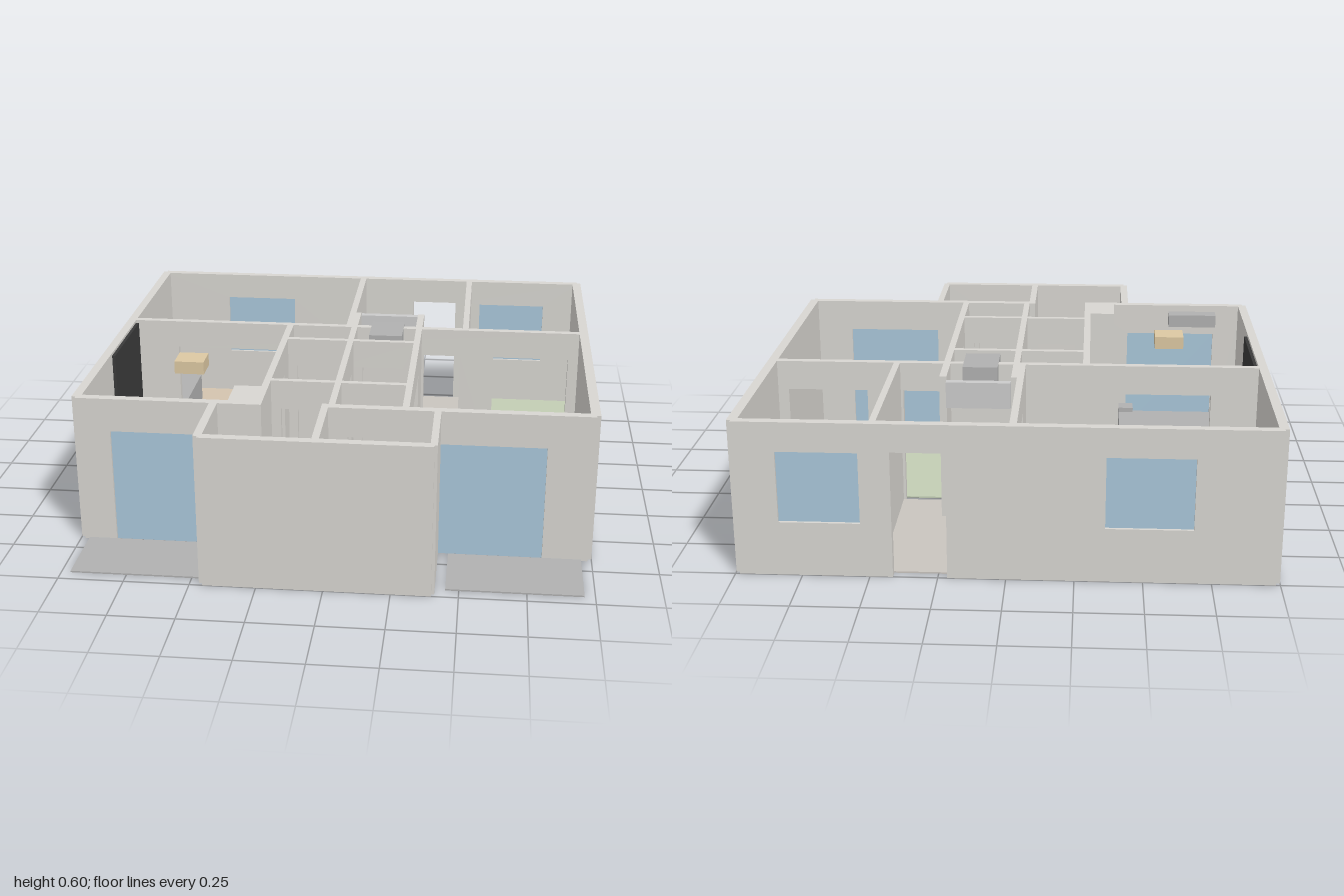
import * as THREE from 'three';

const H = 0.598;      // wall height
const DOOR = 0.48;    // opening height
const FLOOR = 0.006;  // slab thickness

const mat = (color) => new THREE.MeshStandardMaterial({ color });
const M = {
  wall: mat(0xd8d6d1), green: mat(0xc2cdb4), tan: mat(0xd3c3ae), brown: mat(0xcab192),
  hall: mat(0xc9c4be), blue: mat(0xbacbd6), grey: mat(0xb0b0b0), white: mat(0xdededa),
  dark: mat(0x3a3a3a), bed: mat(0x505050), wood: mat(0xdcc8a2), glass: mat(0xa9c7da),
};

export function createModel() {
  const model = new THREE.Group();

  // Box given by its plan rectangle and height range
  function block(name, material, x0, x1, z0, z1, y0, y1) {
    const mesh = new THREE.Mesh(new THREE.BoxGeometry(x1 - x0, y1 - y0, z1 - z0), material);
    mesh.position.set((x0 + x1) / 2, (y0 + y1) / 2, (z0 + z1) / 2);
    mesh.name = name;
    model.add(mesh);
  }

  // Wall along x or z: c0..c1 is its thickness, a..b its run.
  // doors: [from, to, height] cut from the ground; windows: [from, to, sill, head]
  function wall(name, axis, c0, c1, a, b, doors = [], windows = []) {
    const s = new THREE.Shape();
    s.moveTo(a, 0);
    for (const [d0, d1, h = DOOR] of doors) {
      s.lineTo(d0, 0); s.lineTo(d0, h); s.lineTo(d1, h); s.lineTo(d1, 0);
    }
    s.lineTo(b, 0); s.lineTo(b, H); s.lineTo(a, H); s.closePath();
    for (const [w0, w1, y0, y1] of windows) {
      const p = new THREE.Path();
      p.moveTo(w0, y0); p.lineTo(w0, y1); p.lineTo(w1, y1); p.lineTo(w1, y0); p.closePath();
      s.holes.push(p);
    }
    const geo = new THREE.ExtrudeGeometry(s, { depth: c1 - c0, bevelEnabled: false });
    if (axis === 'z') { geo.rotateY(-Math.PI / 2); geo.translate(c1, 0, 0); }
    else geo.translate(0, 0, c0);
    const mesh = new THREE.Mesh(geo, M.wall);
    mesh.name = name;
    model.add(mesh);
  }

  // Room floors
  const floors = [
    ['livingFloor', M.tan, -0.965, -0.04, -0.965, -0.285],
    ['entryFloor', M.hall, -0.013, 0.465, -0.965, -0.452],
    ['entryFloor', M.hall, 0.29, 0.465, -0.452, -0.285],
    ['closetFloor', M.hall, 0.01, 0.262, -0.452, -0.285],
    ['backBedroomFloor', M.green, 0.49, 0.96, -0.965, -0.285],
    ['mainBedroomFloor', M.green, -0.965, -0.295, -0.255, 0.48],
    ['mainBedroomFloor', M.green, -0.965, -0.4, 0.48, 0.635],
    ['sideBedroomFloor', M.green, 0.29, 0.96, -0.255, 0.635],
    ['storeFloor', M.tan, -0.268, -0.015, -0.255, -0.1],
    ['toiletFloor', M.blue, 0.01, 0.264, -0.255, -0.1],
    ['corridorFloor', M.brown, -0.268, -0.015, -0.075, 0.39],
    ['corridorFloor', M.brown, 0.01, 0.264, -0.075, 0.39],
    ['washFloor', M.blue, -0.268, -0.018, 0.415, 0.65],
    ['washFloor', M.blue, -0.268, -0.04, 0.65, 0.67],
    ['washFloor', M.blue, -0.435, -0.04, 0.67, 0.965],
    ['dressingFloor', M.tan, 0.01, 0.264, 0.415, 0.635],
    ['bathFloor', M.blue, -0.013, 0.385, 0.67, 0.965],
    ['patio', M.grey, -0.965, -0.465, 0.67, 0.95],
    ['patio', M.grey, 0.45, 0.96, 0.67, 0.95],
  ];
  for (const f of floors) block(...f, 0, FLOOR);

  // Outer walls, run short of the corners to leave small notches
  wall('backWall', 'x', -1, -0.965, -0.984, 0.984, [[0.215, 0.415, 0.49]],
    [[-0.68, -0.36, 0.21, 0.485], [0.53, 0.83, 0.21, 0.485]]);
  wall('sideWall', 'z', -1, -0.965, -0.984, 0.655);
  wall('sideWall', 'z', 0.963, 1, -0.984, 0.655);
  wall('frontWall', 'x', 0.635, 0.67, -0.984, -0.268, [[-0.855, -0.465, 0.465]]);
  wall('frontWall', 'x', 0.635, 0.67, -0.04, 0.984, [[0.06, 0.22], [0.41, 0.81, 0.465]]);
  wall('bayFrontWall', 'x', 0.965, 1, -0.45, 0.4);
  wall('baySideWall', 'z', -0.466, -0.435, 0.65, 0.984);
  wall('baySideWall', 'z', 0.385, 0.411, 0.65, 0.984);

  // Inner walls
  wall('crossWall', 'x', -0.285, -0.255, -0.98, 0.98, [[-0.78, -0.32], [0.3, 0.455], [0.6, 0.92]]);
  wall('entryWall', 'z', -0.04, -0.013, -0.98, -0.27, [[-0.75, -0.5]]);
  wall('entryWall', 'z', 0.465, 0.49, -0.98, -0.27);
  wall('closetWall', 'z', -0.013, 0.01, -0.452, -0.27);
  wall('closetWall', 'z', 0.262, 0.29, -0.452, -0.27);
  wall('corridorWall', 'z', -0.295, -0.268, -0.27, 0.49, [[0.05, 0.3]]);
  wall('middleWall', 'z', -0.015, 0.01, -0.27, 0.65, [[0, 0.32]]);
  wall('corridorWall', 'z', 0.264, 0.29, -0.27, 0.65, [[0, 0.35]]);
  wall('storeWall', 'x', -0.1, -0.075, -0.28, 0.275, [[-0.23, -0.06], [0.05, 0.22]]);
  wall('washWall', 'x', 0.39, 0.415, -0.28, 0.275, [[-0.23, -0.06], [0.05, 0.22]]);
  wall('bathWall', 'z', -0.04, -0.013, 0.65, 0.98);
  block('shaft', M.wall, -0.4, -0.268, 0.48, 0.67, 0, H);
  block('closetLintel', M.white, 0.01, 0.262, -0.485, -0.455, DOOR, 0.585);

  // Glass panes set inside the wall openings
  block('backWindow', M.glass, -0.68, -0.36, -0.988, -0.977, 0.21, 0.485);
  block('backWindow', M.glass, 0.53, 0.83, -0.988, -0.977, 0.21, 0.485);
  block('patioDoor', M.glass, -0.855, -0.465, 0.647, 0.658, 0, 0.465);
  block('patioDoor', M.glass, 0.41, 0.81, 0.647, 0.658, 0, 0.465);

  // Living room furniture
  block('sofa', M.grey, -0.963, -0.805, -0.83, -0.465, FLOOR, 0.13);
  block('cabinet', M.grey, -0.96, -0.82, -0.445, -0.3, FLOOR, 0.16);
  block('cabinetTop', M.grey, -0.953, -0.825, -0.425, -0.305, 0.16, 0.2);

  // Main bedroom furniture
  block('headboard', M.dark, -0.963, -0.95, -0.24, 0.18, FLOOR, 0.59);
  block('bed', M.bed, -0.95, -0.57, -0.2, 0.15, FLOOR, 0.12);
  block('nightstand', M.grey, -0.57, -0.51, -0.215, -0.15, FLOOR, 0.12);
  block('hangingLamp', M.wood, -0.69, -0.57, 0.13, 0.24, 0.545, 0.597);
  block('couch', M.grey, -0.955, -0.43, 0.26, 0.51, FLOOR, 0.13);
  block('sideTable', M.white, -0.935, -0.86, 0.5, 0.58, FLOOR, 0.16);
  block('stool', M.grey, -0.495, -0.43, 0.49, 0.555, FLOOR, 0.15);
  block('airConditioner', M.grey, -0.86, -0.65, 0.57, 0.635, 0.515, 0.57);

  // Wet rooms
  block('ceilingUnit', M.grey, 0.07, 0.21, -0.335, -0.15, 0.53, 0.6);
  block('washer', M.grey, -0.415, -0.265, 0.805, 0.945, FLOOR, 0.2);
  block('bathtub', M.grey, 0.02, 0.36, 0.78, 0.945, FLOOR, 0.14);

  return model;
}
